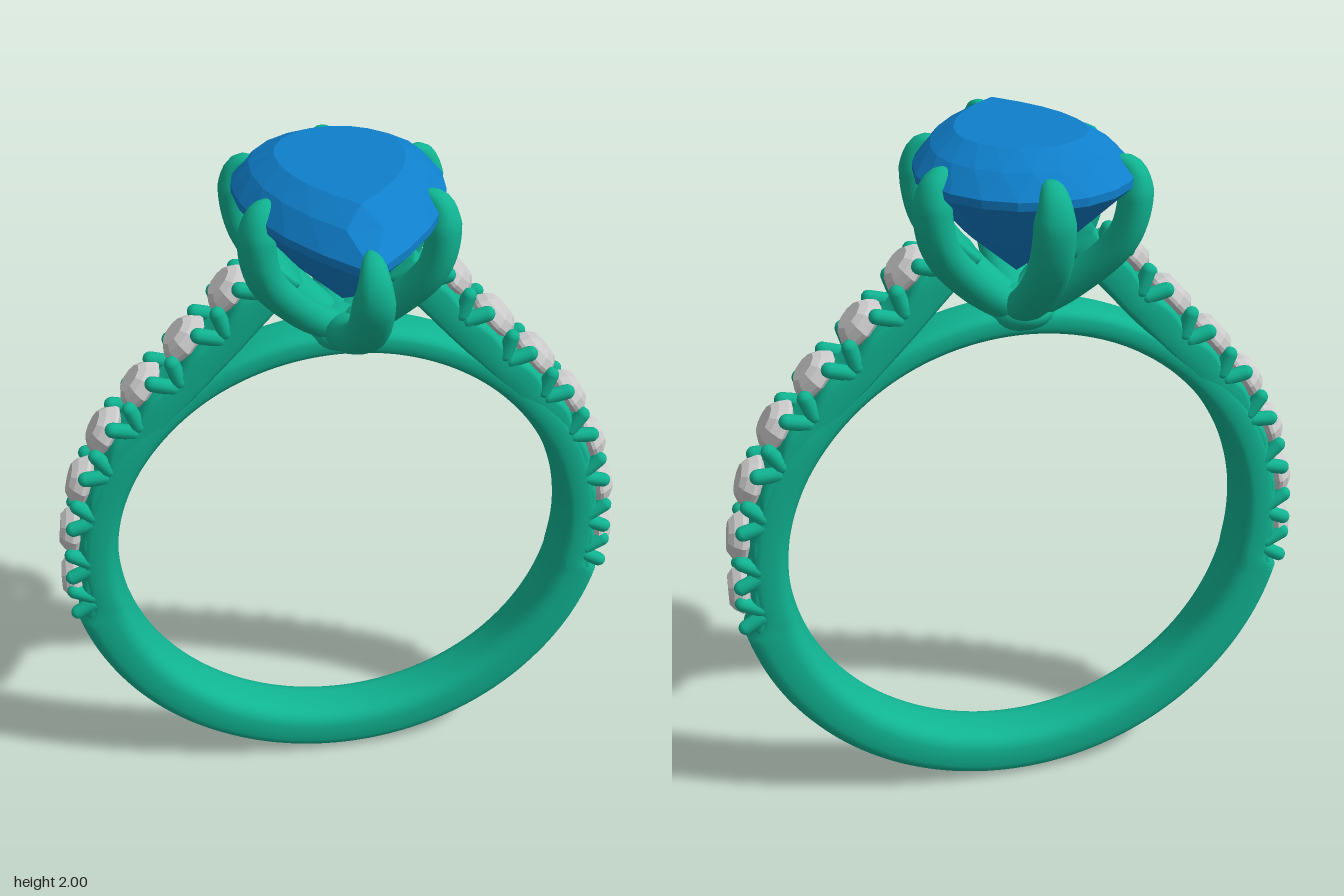
import * as THREE from 'three';

const metal = new THREE.MeshStandardMaterial({ color: 0x10b492 });
const blue = new THREE.MeshStandardMaterial({ color: 0x0f7fcb, flatShading: true });
const grey = new THREE.MeshStandardMaterial({ color: 0xcccccc, flatShading: true });
const BAND_Z = -0.08, CENTRE_Y = 0.81, INNER_R = 0.655;
const { smoothstep, clamp } = THREE.MathUtils;

function add(parent, name, geometry, material) {
  const mesh = new THREE.Mesh(geometry, material);
  mesh.name = name;
  parent.add(mesh);
  return mesh;
}

function buildGeometry(positions, index) {
  const g = new THREE.BufferGeometry();
  g.setAttribute('position', new THREE.Float32BufferAttribute(positions, 3));
  g.setIndex(index);
  g.computeVertexNormals();
  return g;
}

// Sweep a superellipse along a path in the XY plane.
// frame(t) gives p (centre), t (unit tangent), h (half height), w (half width in z).
function sweep(frame, segs, power, closed = false, sides = 20) {
  const pos = [], idx = [], rings = closed ? segs : segs + 1;
  const bend = v => Math.sign(v) * Math.abs(v) ** (2 / power);
  for (let j = 0; j < rings; j++) {
    const { p, t, h, w } = frame(j / segs);
    for (let i = 0; i < sides; i++) {
      const a = (i / sides) * Math.PI * 2, u = bend(Math.cos(a)) * h;
      pos.push(p.x + t.y * u, p.y - t.x * u, bend(Math.sin(a)) * w);
    }
  }
  for (let j = 0; j < segs; j++) for (let i = 0; i < sides; i++) {
    const k = (i + 1) % sides, a = j * sides, b = ((j + 1) % rings) * sides;
    idx.push(a + i, b + i, b + k, a + i, b + k, a + k);
  }
  if (!closed) {
    const last = (rings - 1) * sides, c = rings * sides;
    const p0 = frame(0).p, p1 = frame(1).p;
    pos.push(p0.x, p0.y, 0, p1.x, p1.y, 0);
    for (let i = 0; i < sides; i++) {
      const k = (i + 1) % sides;
      idx.push(c, i, k, c + 1, last + k, last + i);
    }
  }
  return buildGeometry(pos, idx);
}

const curve = pts => new THREE.CatmullRomCurve3(pts.map(([x, y]) => new THREE.Vector3(x, y, 0)));

// Full hoop: thick plain lower part, stepped down under the stones, thin arch on top
function shankFrame(t) {
  const a = t * Math.PI * 2, phi = Math.abs(((t * 360 + 180) % 360) - 180);
  const outer = 0.81 - 0.04 * smoothstep(phi, 78.5, 80.5) - 0.035 * smoothstep(phi, 110, 148);
  const r = (INNER_R + outer) / 2;
  return {
    p: new THREE.Vector3(Math.sin(a) * r, CENTRE_Y - Math.cos(a) * r, 0),
    t: new THREE.Vector3(Math.cos(a), Math.sin(a), 0),
    h: (outer - INNER_R) / 2,
    w: 0.0875 - 0.012 * smoothstep(phi, 120, 150),
  };
}

// Line through the girdles of the shoulder stones
const stoneLine = [[0.795, 0.66], [0.797, 0.77], [0.783, 0.94], [0.74, 1.105], [0.66, 1.265],
  [0.55, 1.4], [0.425, 1.53], [0.3, 1.665], [0.2, 1.775]];

function buildShoulder() {
  const shoulder = new THREE.Group();
  const line = curve(stoneLine), n = stoneLine.length - 1;
  const at = (t, depth) => {
    const tan = line.getTangent(t), p = line.getPoint(t);
    return { t: tan, p: p.add(new THREE.Vector3(-tan.y * depth, tan.x * depth, 0)) };
  };
  // Bar dips between stones
  add(shoulder, 'shoulderBar', sweep(t => {
    const dip = 0.012 * (0.5 - 0.5 * Math.cos(t * n * Math.PI * 2));
    return { ...at(t, 0.077 + dip / 2), h: 0.048 - dip / 2, w: 0.083 };
  }, 96, 5), metal);

  const gemShape = [[0, -0.07], [0.074, -0.02], [0.074, -0.01], [0.06, 0.012], [0.042, 0.026], [0, 0.026]]
    .map(([x, y]) => new THREE.Vector2(x, y));
  const gemGeo = new THREE.LatheGeometry(gemShape, 10);
  const clawGeo = new THREE.CapsuleGeometry(0.021, 0.055, 4, 10);
  for (let k = 1; k < n; k++) {
    const { p, t } = at(k / n, 0);
    const gem = add(shoulder, 'shoulderStone', gemGeo, grey);
    gem.position.copy(p);
    gem.rotation.z = Math.atan2(-t.x, t.y) - Math.PI / 2;
  }
  // Split claws in each gap, splayed towards the neighbouring stones
  for (let k = 0; k < n; k++) {
    const { p, t } = at((k + 0.5 + (k === 0 ? 0.08 : 0)) / n, 0.033);
    for (const side of [-1, 1]) for (const lean of [-1, 1]) {
      const claw = add(shoulder, 'stoneClaw', clawGeo, metal);
      claw.position.copy(p).addScaledVector(t, lean * 0.026);
      claw.position.z = side * 0.066;
      claw.rotation.z = Math.atan2(-t.x, t.y) - Math.PI / 2 + lean * 0.5;
    }
  }
  return shoulder;
}

// Pear outline: elliptical back, parabolic sides meeting at a front point
function pear(s) {
  const a = (((s % 1) + 1) % 1) * Math.PI * 2;
  if (a > Math.PI) return [0.27 * Math.cos(a), -0.14 + 0.28 * Math.sin(a)];
  const u = 1 - Math.abs(1 - a / (Math.PI / 2));
  return [Math.sign(Math.cos(a)) * 0.27 * (1 - u * u), -0.14 + 0.54 * u];
}

function pearGeometry() {
  const N = 20, pos = [], idx = [];
  // y, scale, phase, from the culet up to the table
  const levels = [[1.62, 0.001, 0], [1.75, 0.53, 0], [1.895, 1, 0], [1.915, 1, 0],
    [1.965, 0.83, 0.5], [2, 0.6, 1]];
  for (const [y, s, phase] of levels) for (let i = 0; i < N; i++) {
    const [x, z] = pear((i + phase) / N);
    pos.push(x * s, y, -0.055 + (z + 0.055) * s);
  }
  for (let j = 0; j < levels.length - 1; j++) for (let i = 0; i < N; i++) {
    const k = (i + 1) % N, a = j * N, b = a + N;
    // Staggered rings share the short diagonal
    idx.push(a + i, b + i, a + k, a + k, b + i, b + k);
  }
  const top = (levels.length - 1) * N;
  pos.push(0, 2, -0.055);
  for (let i = 0; i < N; i++) idx.push(top + N, top + (i + 1) % N, top + i);
  return buildGeometry(pos, idx).toNonIndexed();
}

// Claw bowing out from the foot and hooking over the girdle at radius R
function prongGeometry(R) {
  const path = curve([[0.02, 1.53], [0.45 * R, 1.625], [0.8 * R, 1.755], [R - 0.045, 1.87],
    [R - 0.062, 1.925], [R - 0.115, 1.942]]);
  return sweep(t => {
    const tip = Math.sqrt(clamp((1 - t) / 0.2, 0.02, 1));
    return {
      p: path.getPointAt(t), t: path.getTangentAt(t),
      h: 0.043 * tip, w: (0.058 - 0.01 * t) * tip,
    };
  }, 40, 2.2, false, 16);
}

export function createModel() {
  const ring = new THREE.Group();
  ring.name = 'ring';

  const band = new THREE.Group();
  band.name = 'band';
  band.position.z = BAND_Z;
  ring.add(band);
  add(band, 'shank', sweep(shankFrame, 180, 3, true, 28), metal);

  // Stone-set shoulders, the right one turned half round the vertical axis
  for (const side of [1, -1]) {
    const shoulder = buildShoulder();
    shoulder.name = side > 0 ? 'leftShoulder' : 'rightShoulder';
    if (side < 0) shoulder.rotation.y = Math.PI;
    band.add(shoulder);
  }

  // Setting: foot and six claws
  const setting = new THREE.Group();
  setting.name = 'setting';
  setting.position.z = BAND_Z;
  ring.add(setting);
  const foot = add(setting, 'settingFoot', new THREE.SphereGeometry(1, 24, 14), metal);
  foot.scale.set(0.1, 0.055, 0.108);
  foot.position.y = 1.53;
  const prongs = [[0, 1, 0.54], [0, -1, 0.385]];
  for (const s of [1, -1]) prongs.push([0.25 * s, -0.165, 0.345], [0.235 * s, 0.165, 0.325]);
  for (const [x, z, R] of prongs) {
    add(setting, 'prong', prongGeometry(R), metal).rotation.y = Math.atan2(-z, x);
  }

  add(ring, 'centreStone', pearGeometry(), blue);
  return ring;
}
